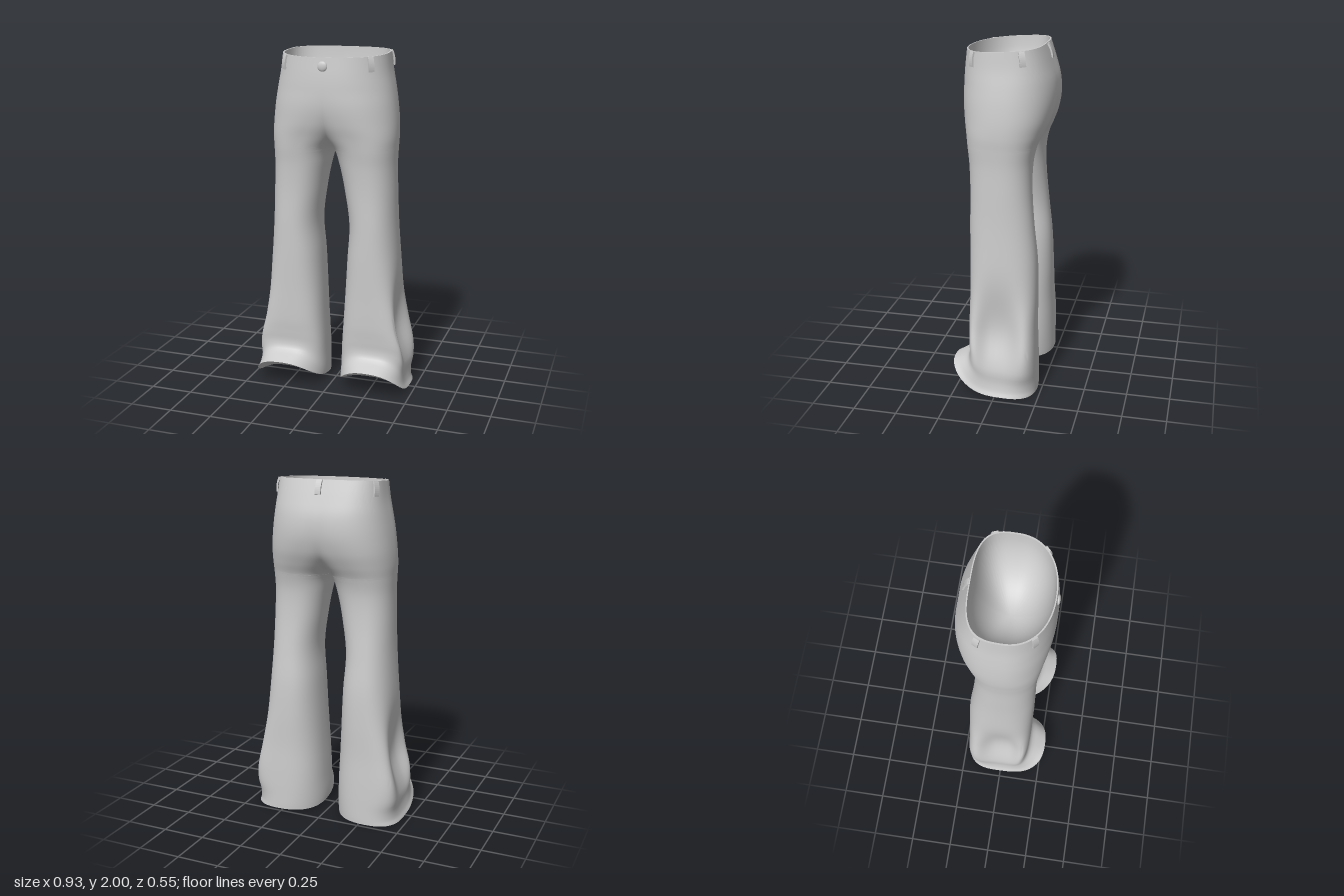
import * as THREE from 'three';
import { mergeGeometries, toCreasedNormals } from 'three/addons/utils/BufferGeometryUtils.js';

const CROTCH = 1.45;

// Cross-sections of the left half, from hem to waist:
// height, outer x, inner x, front z, back z, front squareness, back squareness
const SECTIONS = [
  [0.00, 0.473, 0.052, 0.275, -0.225, 2.6, 2.4],
  [0.03, 0.464, 0.050, 0.238, -0.225, 2.7, 2.4],
  [0.08, 0.465, 0.050, 0.185, -0.224, 3.0, 2.5],
  [0.15, 0.482, 0.053, 0.168, -0.223, 3.2, 2.7],
  [0.25, 0.482, 0.057, 0.170, -0.220, 3.2, 2.8],
  [0.40, 0.454, 0.065, 0.176, -0.214, 3.0, 2.7],
  [0.60, 0.413, 0.075, 0.178, -0.213, 2.6, 2.5],
  [0.80, 0.387, 0.085, 0.181, -0.206, 2.4, 2.4],
  [1.00, 0.372, 0.096, 0.182, -0.185, 2.3, 2.3],
  [1.20, 0.365, 0.068, 0.182, -0.168, 2.3, 2.3],
  [1.35, 0.361, 0.036, 0.190, -0.168, 2.3, 2.3],
  [1.45, 0.364, 0.000, 0.203, -0.188, 2.3, 2.3],
  [1.52, 0.367, -0.070, 0.215, -0.219, 2.3, 2.3],
  [1.60, 0.364, -0.175, 0.234, -0.252, 2.2, 2.4],
  [1.70, 0.353, -0.285, 0.250, -0.275, 2.2, 2.5],
  [1.80, 0.337, -0.337, 0.252, -0.272, 2.2, 2.7],
  [1.90, 0.319, -0.319, 0.247, -0.242, 2.2, 3.0],
  [2.00, 0.307, -0.307, 0.237, -0.207, 2.2, 3.2],
];

// Smooth interpolation of the section table
function section(y) {
  const S = SECTIONS, last = S.length - 1;
  let i = 0;
  while (i < last - 1 && y > S[i + 1][0]) i++;
  const h = S[i + 1][0] - S[i][0], t = (y - S[i][0]) / h;
  const slope = (k, c) => {
    const a = Math.max(0, k - 1), b = Math.min(last, k + 1);
    return (S[b][c] - S[a][c]) / (S[b][0] - S[a][0]);
  };
  const at = (c) => {
    const t2 = t * t, t3 = t2 * t;
    return (2 * t3 - 3 * t2 + 1) * S[i][c] + (t3 - 2 * t2 + t) * h * slope(i, c)
      + (3 * t2 - 2 * t3) * S[i + 1][c] + (t3 - t2) * h * slope(i + 1, c);
  };
  return [1, 2, 3, 4, 5, 6].map(at);
}

const { lerp, smoothstep } = THREE.MathUtils;
const spow = (v, p) => Math.sign(v) * Math.pow(Math.abs(v), p);
const bump = (v, mid, width) => Math.exp(-(((v - mid) / width) ** 2));

// Point of the cloth; u runs -1 (back seam) .. 0 (outer side) .. 1 (front seam).
// Above the crotch the curve stops at x = 0, below it closes round the leg.
// inset (plan) and sink (height) move it toward the middle of the end lining.
function clothPoint(Y, u, { inset = 0, sink = 0, angle = null } = {}) {
  let [xo, xi, zf, zb, nf, nb] = section(Y);
  xi = Y >= CROTCH ? Math.min(0, Math.max(xi, -xo)) : Math.max(0.001, xi);
  const cx = (xo + xi) / 2, rx = (xo - xi) / 2;
  const n = u >= 0 ? nf : nb;
  const ratio = Math.min(1, cx / rx);
  const end = Y > CROTCH ? Math.acos(-Math.pow(ratio, n / 2)) : Math.PI;
  const a = angle === null ? u * end : angle;
  let x = cx + rx * spow(Math.cos(a), 2 / n);
  let z = (u >= 0 ? zf : -zb) * spow(Math.sin(a), 2 / n);
  // Pinched outer seam, front lip and back of the flare swung outward, cleft of the seat
  x -= 0.09 * bump(a, 0, 0.55) * bump(Y, 0.36, 0.24);
  if (z < 0) {
    x += 0.022 * (z / zb) ** 2 * (1 - smoothstep(Y, 0.2, 0.8));
    z += 0.006 * bump(x, 0, 0.06) * bump(Y, 1.65, 0.15);
  } else x += 0.018 * (z / zf) ** 2 * (1 - smoothstep(Y, 0, 0.2));
  // Front of the hem is lifted, front of the waist dips
  let y = Y;
  if (Y < 0.4) {
    const lift = (0.02 - 0.01 * Math.cos(a)) * smoothstep(z, -0.2, 0.1);
    y += (lift + 0.145 * Math.pow(Math.max(0, z / zf), 2.2)) * (1 - Y / 0.4);
  }
  y -= 0.028 * smoothstep(Y, 1.7, 2) * (z - zb) / (zf - zb);
  if (Y >= CROTCH && Math.abs(u) === 1) x = 0;
  return new THREE.Vector3(
    lerp(x, Y > CROTCH ? 0 : cx, inset), lerp(y, Y > CROTCH ? 1.62 : 0.07, sink), lerp(z, 0, inset));
}

// One half of the trousers, side = 1 (left) or -1 (right)
function halfGeometry(side) {
  const COLS = 72, LINING = 16, rows = [];
  // Bowl-shaped lining and rim at the waist
  for (let i = LINING; i >= 0; i--) {
    const s = (i / LINING) ** 1.6;
    rows.push([2, { inset: 0.03 + 0.97 * s, sink: Math.sqrt(1 - (1 - s) ** 2) }]);
  }
  // Seat, then leg
  for (let i = 0; i <= 32; i++) rows.push([CROTCH + 0.55 * Math.pow(1 - i / 32, 1.7)]);
  for (let i = 1; i <= 56; i++) rows.push([CROTCH * (1 + Math.cos(Math.PI * i / 56)) / 2]);
  // Shallow domed lining closing the hem
  for (let i = 1; i <= LINING; i++) {
    const s = i / LINING;
    rows.push([0, { inset: s, sink: 1 - (1 - s) ** 2 }]);
  }
  const pos = [], index = [];
  rows.forEach(([Y, options], i) => {
    for (let j = 0; j <= COLS; j++) {
      const p = clothPoint(Y, (2 * j) / COLS - 1, options);
      pos.push(p.x * side, p.y, p.z);
      if (i === 0 || j === 0) continue;
      const d = i * (COLS + 1) + j, c = d - 1, b = d - COLS - 1, a = b - 1;
      if (side > 0) index.push(a, b, c, b, d, c);
      else index.push(a, c, b, b, c, d);
    }
  });
  const g = new THREE.BufferGeometry();
  g.setAttribute('position', new THREE.Float32BufferAttribute(pos, 3));
  g.setIndex(index);
  return g;
}

// Bowed strip, standing along y and bulging toward +z
function beltLoopGeometry() {
  const H = 0.042, W = 0.034;
  const s = new THREE.Shape();
  s.moveTo(-0.006, -H);
  s.lineTo(0.004, -H);
  s.quadraticCurveTo(0.015, 0, 0.004, H);
  s.lineTo(-0.006, H);
  s.quadraticCurveTo(0.006, 0, -0.006, -H);
  const g = new THREE.ExtrudeGeometry(s, { depth: W, bevelEnabled: false, curveSegments: 8 });
  g.translate(0, 0, -W / 2);
  g.rotateY(-Math.PI / 2);
  return g;
}

export function createModel() {
  const group = new THREE.Group();
  const cloth = new THREE.MeshStandardMaterial({ color: 0xcccccc, side: THREE.DoubleSide });
  const add = (name, geometry) => {
    const m = new THREE.Mesh(geometry, cloth);
    m.name = name;
    group.add(m);
    return m;
  };

  // Seat, flared legs and linings in one seamless shell
  add('trousers', toCreasedNormals(mergeGeometries([halfGeometry(1), halfGeometry(-1)]), 1.1));

  // Belt loops, aligned to the cloth beneath
  const loopGeo = beltLoopGeometry();
  const addLoop = (name, angle, side) => {
    const at = (Y, da = 0) => {
      const p = clothPoint(Y, angle >= 0 ? 0.5 : -0.5, { angle: angle + da });
      p.x *= side;
      return p;
    };
    const up = at(1.995).sub(at(1.91)).normalize();
    const across = at(1.95, -0.05).sub(at(1.95, 0.05)).multiplyScalar(side);
    const out = across.clone().cross(up).normalize();
    across.crossVectors(up, out);
    const loop = add(name, loopGeo);
    loop.quaternion.setFromRotationMatrix(new THREE.Matrix4().makeBasis(across, up, out));
    loop.position.copy(at(1.957)).addScaledVector(out, 0.003);
  };
  for (const side of [1, -1]) {
    const label = side > 0 ? 'left' : 'right';
    addLoop(label + 'FrontBeltLoop', 0.68, side);
    addLoop(label + 'BackBeltLoop', -0.42, side);
  }
  addLoop('backBeltLoop', -Math.PI / 2, 1);

  // Domed waist button
  const button = add('button', new THREE.SphereGeometry(0.028, 24, 16));
  button.scale.z = 0.4;
  button.position.set(0, 1.925, 0.245);
  return group;
}
